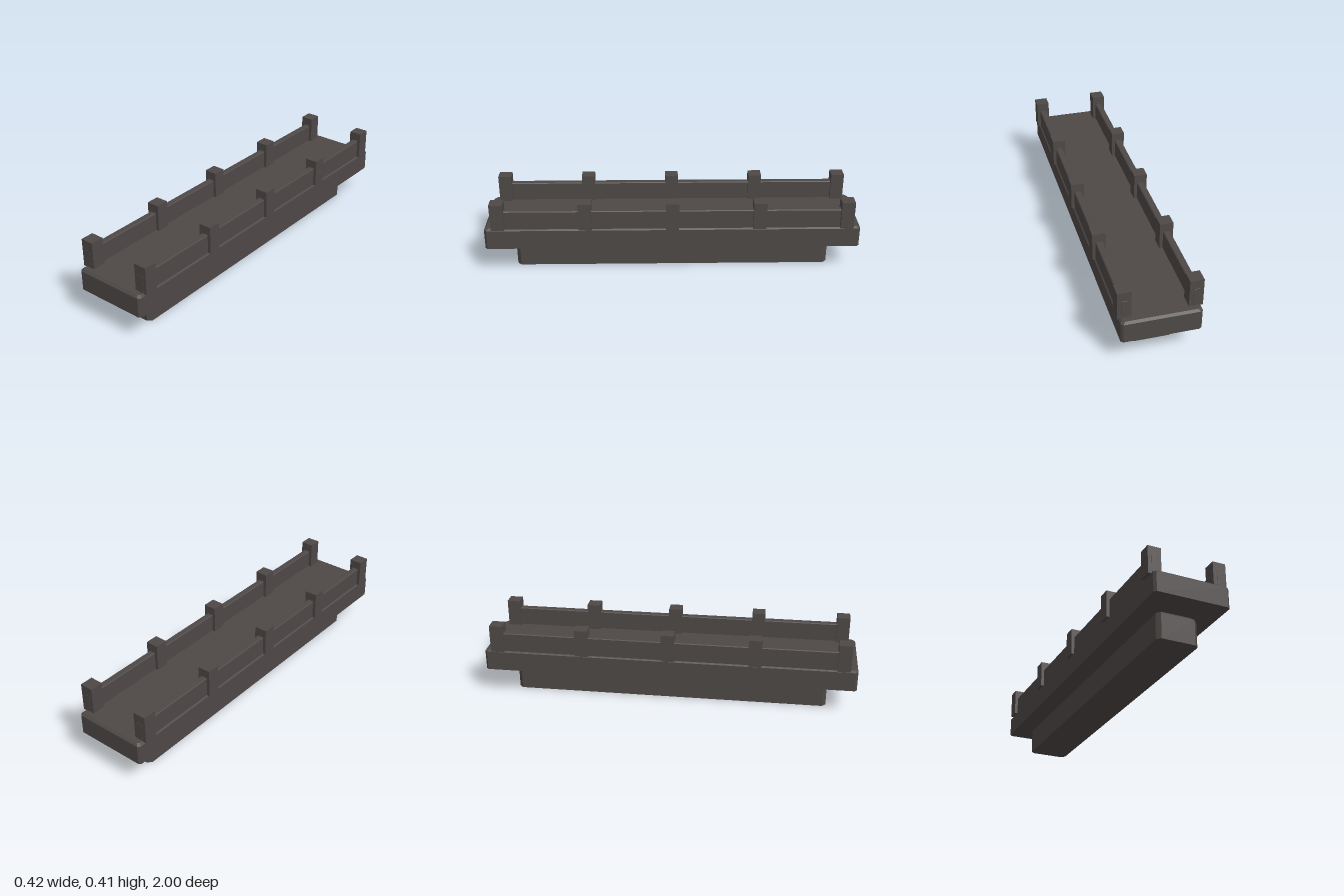
import * as THREE from 'three';

// Block with clipped vertical corners and a bevelled top edge.
function bevelBlock(hx, hz, y0, y1, corner, bevel) {
  const ring = (inset, y) => {
    const x = hx - inset, z = hz - inset, c = corner;
    return [[x, z - c], [x, c - z], [x - c, -z], [c - x, -z],
      [-x, c - z], [-x, z - c], [c - x, z], [x - c, z]]
      .map(([px, pz]) => [px, y, pz]);
  };
  const rings = [ring(0, y0), ring(0, y1 - bevel), ring(bevel, y1)];
  const pos = [];
  const tri = (a, b, c) => pos.push(...a, ...b, ...c);
  for (let r = 0; r < 2; r++) {
    for (let i = 0; i < 8; i++) {
      const j = (i + 1) % 8;
      const a = rings[r][i], b = rings[r][j], c = rings[r + 1][j], d = rings[r + 1][i];
      tri(a, b, c);
      tri(a, c, d);
    }
  }
  // Top and bottom caps
  for (let i = 1; i < 7; i++) {
    tri(rings[2][0], rings[2][i], rings[2][i + 1]);
    tri(rings[0][0], rings[0][i + 1], rings[0][i]);
  }
  const geo = new THREE.BufferGeometry();
  geo.setAttribute('position', new THREE.Float32BufferAttribute(pos, 3));
  geo.computeVertexNormals();
  return geo;
}

export function createModel() {
  const model = new THREE.Group();
  model.name = 'bridge';
  const stone = new THREE.MeshStandardMaterial({ color: 0x4e4947 });
  stone.name = 'dark stone';

  const add = (name, geo, x = 0, y = 0, z = 0) => {
    const mesh = new THREE.Mesh(geo, stone);
    mesh.name = name;
    mesh.position.set(x, y, z);
    model.add(mesh);
  };

  // Support beam and walkway
  add('supportBeam', bevelBlock(0.11, 0.85, 0, 0.15, 0.02, 0.015), 0, 0, 0);
  add('deck', bevelBlock(0.2, 1, 0.15, 0.267, 0.012, 0.011));

  // Parapet walls with five posts on each side
  const railGeo = bevelBlock(0.018, 0.961, 0.26, 0.367, 0.004, 0.004);
  const postGeo = new THREE.BoxGeometry(0.07, 0.15, 0.07);
  for (const side of [1, -1]) {
    const label = side > 0 ? 'left' : 'right';
    add(label + 'Rail', railGeo, side * 0.175);
    for (let i = -2; i <= 2; i++) {
      add(label + 'Post', postGeo, side * 0.175, 0.338, i * 0.4625);
    }
  }
  return model;
}
